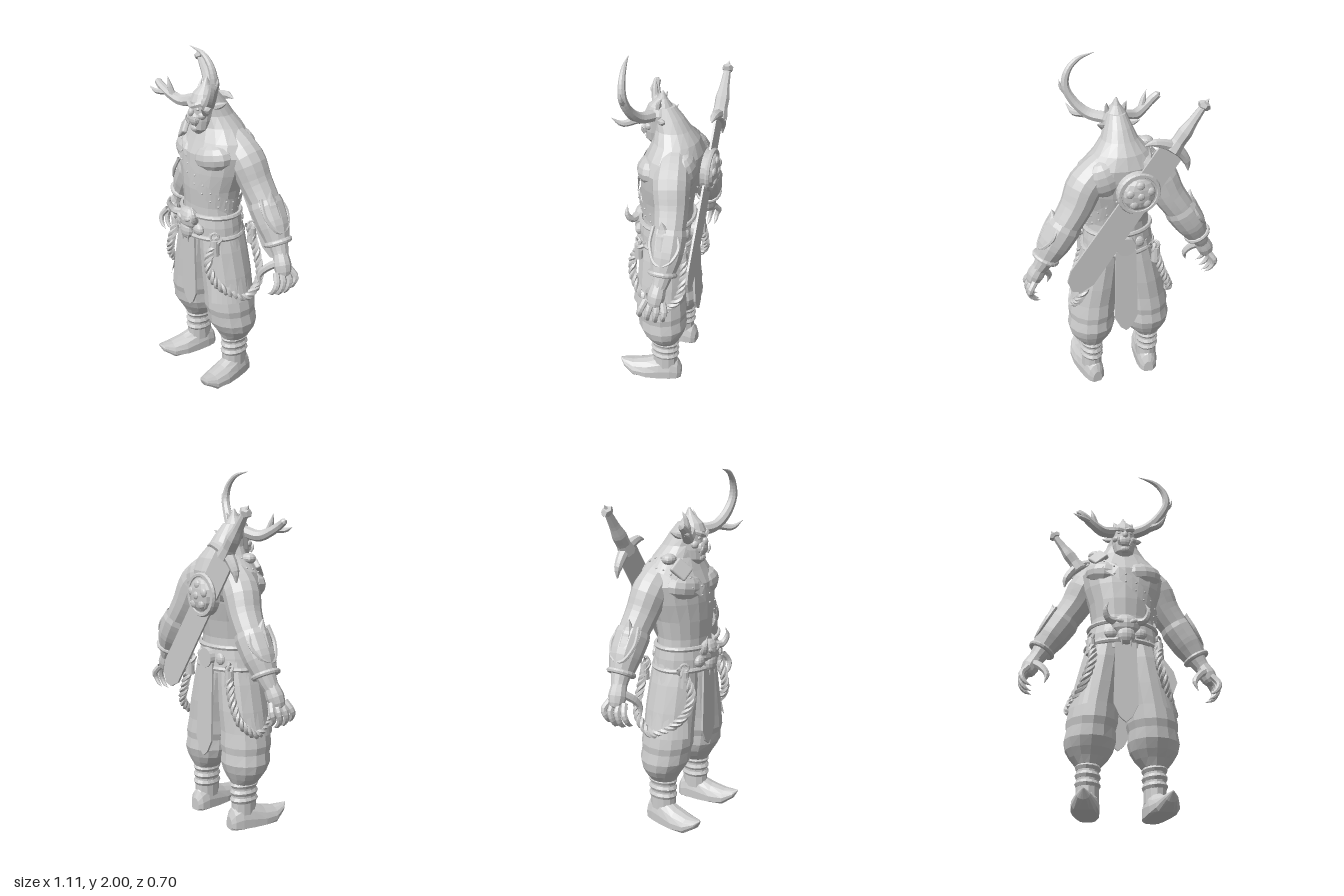
import * as THREE from 'three';
import { RoundedBoxGeometry } from 'three/addons/geometries/RoundedBoxGeometry.js';

const clay = new THREE.MeshStandardMaterial({ color: 0xcccccc, flatShading: true, side: THREE.DoubleSide });
clay.name = 'light grey clay';
const V = (x, y, z) => new THREE.Vector3(x, y, z);

export function createModel() {
  const model = new THREE.Group();
  const body = new THREE.Group();
  body.name = 'hornedWarrior';
  model.add(body);

  const add = (name, geo, pos = [0, 0, 0], rot = [0, 0, 0], scale = [1, 1, 1], parent = body) => {
    const m = new THREE.Mesh(geo, clay);
    m.name = name;
    m.position.set(...pos);
    m.rotation.set(...rot);
    m.scale.set(...scale);
    parent.add(m);
    return m;
  };
  const ball = (name, pos, scale, parent = body, rot = [0, 0, 0]) =>
    add(name, new THREE.SphereGeometry(1, 12, 8), pos, rot, scale, parent);

  // Stack of ellipses, top to bottom: [y, x, z, rx, rz]
  const loftGeo = (rings, sides = 16) => {
    const g = new THREE.CylinderGeometry(1, 1, 1, sides, rings.length - 1);
    const p = g.attributes.position;
    for (let i = 0; i < p.count; i++) {
      const [y, x, z, rx, rz] = rings[Math.round((0.5 - p.getY(i)) * (rings.length - 1))];
      p.setXYZ(i, x + p.getX(i) * rx, y, z + p.getZ(i) * rz);
    }
    g.computeVertexNormals();
    return g;
  };
  const loft = (name, rings, sides) => add(name, loftGeo(rings, sides));

  // Tube whose radius changes along its path: [x, y, z, r]
  const limb = (name, pts, sides = 10, seg = 18, parent = body) => {
    const curve = new THREE.CatmullRomCurve3(pts.map(p => V(p[0], p[1], p[2])));
    const g = new THREE.TubeGeometry(curve, seg, 1, sides);
    const p = g.attributes.position, v = V(0, 0, 0);
    for (let i = 0; i < p.count; i++) {
      const u = Math.floor(i / (sides + 1)) / seg;
      const t = curve.getUtoTmapping(u) * (pts.length - 1);
      const k = Math.min(Math.floor(t), pts.length - 2);
      const r = THREE.MathUtils.lerp(pts[k][3], pts[k + 1][3], t - k);
      const c = curve.getPointAt(u);
      v.fromBufferAttribute(p, i).sub(c).multiplyScalar(r).add(c);
      p.setXYZ(i, v.x, v.y, v.z);
    }
    g.computeVertexNormals();
    return add(name, g, undefined, undefined, undefined, parent);
  };
  const flip = (s, pts) => pts.map(([x, ...rest]) => [x * s, ...rest]);

  // Torso with hunched neck
  const torso = [
    [1.72, 0, 0.07, 0.05, 0.06], [1.66, 0, 0.045, 0.075, 0.085], [1.6, 0, 0.02, 0.1, 0.1],
    [1.54, 0, 0, 0.15, 0.125], [1.47, 0, 0.002, 0.215, 0.153], [1.4, 0, 0.02, 0.24, 0.168],
    [1.3, 0, 0.032, 0.222, 0.162], [1.2, 0, 0.045, 0.192, 0.15], [1.1, 0, 0.05, 0.177, 0.138],
    [1.0, 0, 0.05, 0.185, 0.14], [0.9, 0, 0.045, 0.175, 0.14],
  ];
  loft('torso', torso, 18);
  for (const s of [1, -1]) {
    ball('chestMuscle', [0.1 * s, 1.385, 0.11], [0.125, 0.08, 0.08], body, [0, 0.25 * s, 0.15 * s]);
    ball('shoulderBlade', [0.105 * s, 1.41, -0.08], [0.1, 0.11, 0.068], body, [0, 0, -0.3 * s]);
  }

  // Studded strap from right shoulder to left waist
  const onTorso = (a, dy, out) => {
    const y = 1.32 - 0.2 * Math.sin(a) + dy;
    const k = torso.findIndex((r, i) => torso[i + 1][0] <= y);
    const t = (torso[k][0] - y) / (torso[k][0] - torso[k + 1][0]);
    const [, , z, rx, rz] = torso[k].map((n, j) => THREE.MathUtils.lerp(n, torso[k + 1][j], t));
    return V(Math.sin(a) * (rx + out), y, z + Math.cos(a) * (rz + out));
  };
  const strap = new THREE.CylinderGeometry(1, 1, 1, 40, 1, true);
  const sp = strap.attributes.position;
  for (let i = 0; i < sp.count; i++) {
    const q = onTorso(Math.atan2(sp.getX(i), sp.getZ(i)), sp.getY(i) * 0.085, 0.015);
    sp.setXYZ(i, q.x, q.y, q.z);
  }
  strap.computeVertexNormals();
  add('chestStrap', strap);
  for (let i = 0; i < 24; i++)
    for (const dy of [-0.025, 0.025])
      ball('strapStud', onTorso(i * Math.PI / 12, dy, 0.015).toArray(), [0.006, 0.006, 0.006]);
  add('strapBuckle', new RoundedBoxGeometry(0.09, 0.1, 0.03, 2, 0.01), [-0.15, 1.49, 0.12], [-0.5, -0.5, 0.5]);
  ball('shoulderKnot', [-0.16, 1.54, 0.05], [0.045, 0.03, 0.04]);

  // Head with crested brow
  loft('head', [
    [1.8, 0, 0.075, 0.004, 0.004], [1.76, 0, 0.08, 0.022, 0.028], [1.72, 0, 0.09, 0.055, 0.065],
    [1.68, 0, 0.093, 0.074, 0.08], [1.64, 0, 0.1, 0.07, 0.072], [1.58, 0, 0.108, 0.066, 0.064],
    [1.53, 0, 0.113, 0.055, 0.055], [1.5, 0, 0.115, 0.028, 0.03],
  ], 14);
  ball('muzzle', [0, 1.59, 0.16], [0.045, 0.04, 0.025]);
  ball('nose', [0, 1.625, 0.175], [0.017, 0.024, 0.018]);
  ball('chin', [0, 1.535, 0.155], [0.03, 0.022, 0.02]);
  for (const s of [1, -1]) {
    limb('brow', flip(s, [[0, 1.655, 0.175, 0.012], [0.035, 1.67, 0.165, 0.015], [0.078, 1.69, 0.11, 0.008]]), 6, 6);
    ball('eye', [0.031 * s, 1.645, 0.158], [0.013, 0.009, 0.01]);
    ball('cheek', [0.046 * s, 1.61, 0.14], [0.024, 0.022, 0.022]);
    limb('tusk', flip(s, [[0.03, 1.56, 0.17, 0.009], [0.04, 1.585, 0.182, 0.007], [0.036, 1.61, 0.182, 0]]), 6, 6);
    limb('ear', flip(s, [[0.06, 1.65, 0.07, 0.02], [0.09, 1.66, 0.05, 0.017], [0.12, 1.68, 0.025, 0]]), 6, 6);
    limb('crestSpike', flip(s, [[0.04, 1.71, 0.09, 0.02], [0.05, 1.75, 0.08, 0.012], [0.055, 1.78, 0.065, 0]]), 6, 6);
  }

  // Long left horn and broken right antler
  limb('leftHorn', [
    [0.05, 1.675, 0.115, 0.034], [0.13, 1.69, 0.16, 0.031], [0.198, 1.75, 0.19, 0.027], [0.242, 1.84, 0.207, 0.023],
    [0.225, 1.92, 0.213, 0.018], [0.17, 1.975, 0.22, 0.013], [0.075, 2.0, 0.232, 0.001],
  ], 8, 26);
  limb('leftHornProng', [[0.15, 1.69, 0.165, 0.022], [0.2, 1.68, 0.23, 0.017], [0.23, 1.72, 0.28, 0]], 7, 8);
  limb('leftHornSpur', [[0.235, 1.8, 0.2, 0.016], [0.268, 1.84, 0.205, 0.011], [0.275, 1.88, 0.205, 0]], 6, 6);
  limb('rightAntler', [
    [-0.05, 1.675, 0.115, 0.034], [-0.13, 1.655, 0.15, 0.031], [-0.19, 1.68, 0.178, 0.027],
    [-0.25, 1.72, 0.2, 0.022], [-0.285, 1.745, 0.2, 0.018], [-0.29, 1.748, 0.2, 0],
  ], 8, 18);
  limb('rightAntlerProng', [[-0.17, 1.67, 0.175, 0.02], [-0.19, 1.73, 0.185, 0.015], [-0.205, 1.78, 0.185, 0]], 7, 8);
  limb('rightAntlerProng', [[-0.21, 1.69, 0.19, 0.018], [-0.26, 1.69, 0.225, 0.014], [-0.31, 1.71, 0.235, 0]], 7, 8);

  for (const s of [1, -1]) {
    // Arm, bracer and clawed hand
    limb('arm', flip(s, [
      [0.06, 1.5, -0.01, 0.075], [0.135, 1.44, -0.025, 0.092], [0.21, 1.365, -0.038, 0.103], [0.262, 1.26, -0.055, 0.092],
      [0.335, 1.15, -0.068, 0.084], [0.4, 1.05, -0.07, 0.08], [0.455, 0.95, -0.065, 0.052], [0.49, 0.89, -0.055, 0.04],
    ]), 12, 20);
    limb('bracer', flip(s, [
      [0.325, 1.17, -0.066, 0.09], [0.342, 1.14, -0.068, 0.097], [0.4, 1.05, -0.07, 0.09], [0.45, 0.96, -0.065, 0.064],
    ]), 12, 8);
    limb('bracerPoint', flip(s, [[0.425, 1.1, -0.06, 0.045], [0.395, 1.18, -0.055, 0.038], [0.398, 1.255, -0.045, 0]]), 8, 8);
    limb('bracerTrim', flip(s, [
      [0.38, 1.21, 0.005, 0.011], [0.43, 1.12, 0.01, 0.011], [0.48, 1.04, -0.04, 0.011],
      [0.475, 1.05, -0.1, 0.011], [0.42, 1.12, -0.145, 0.011], [0.375, 1.2, -0.115, 0.011],
    ]), 6, 24);
    add('wristCuff', new THREE.TorusGeometry(0.066, 0.015, 8, 18), [0.448 * s, 0.967, -0.065], [Math.PI / 2, 0.5 * s, 0]);
    limb('palm', flip(s, [[0.475, 0.92, -0.058, 0.04], [0.505, 0.86, -0.05, 0.05], [0.525, 0.81, -0.045, 0.04], [0.53, 0.79, -0.045, 0]]), 10, 8);
    for (let i = 0; i < 4; i++) {
      const z = -0.09 + 0.032 * i, d = Math.abs(i - 1.4) * 0.015, w = (i - 1.5) * 0.012;
      limb('finger', flip(s, [
        [0.52, 0.83, z, 0.018], [0.552, 0.785, z + w, 0.018], [0.552, 0.735 + d, z + 0.01 + w, 0.016],
        [0.53, 0.7 + d, z + 0.014 + w, 0.012], [0.495, 0.682 + d, z + 0.016 + w, 0],
      ]), 7, 10);
    }
    limb('thumb', flip(s, [
      [0.49, 0.87, -0.03, 0.024], [0.445, 0.83, 0.01, 0.021], [0.415, 0.78, 0.03, 0.017], [0.43, 0.72, 0.04, 0],
    ]), 7, 10);

    // Baggy trouser leg gathered below the knee
    loft('trouserLeg', [
      [0.98, 0.09, 0.045, 0.1, 0.13], [0.85, 0.11, 0.045, 0.12, 0.14], [0.7, 0.135, 0.042, 0.132, 0.145],
      [0.58, 0.155, 0.042, 0.136, 0.145], [0.5, 0.164, 0.038, 0.142, 0.15], [0.46, 0.168, 0.035, 0.134, 0.142],
      [0.4, 0.172, 0.028, 0.142, 0.143], [0.35, 0.174, 0.022, 0.13, 0.122], [0.31, 0.175, 0.018, 0.105, 0.1],
      [0.27, 0.177, 0.018, 0.07, 0.08],
    ].map(([y, x, z, a, b]) => [y, x * s, z, a, b]), 14);
    add('hipFlap', new THREE.CylinderGeometry(0.2, 0.298, 0.4, 10, 3, true, s > 0 ? 0.75 : -1.95, 1.2),
      [0, 0.76, 0.042], undefined, [1, 1, 0.72]);

    // Wrapped shin and boot with upturned toe
    add('shin', new THREE.CylinderGeometry(0.06, 0.062, 0.24, 12), [0.178 * s, 0.2, 0.015], undefined, [1, 1, 1.25]);
    for (const y of [0.17, 0.215, 0.26])
      add('shinWrap', new THREE.TorusGeometry(0.054, 0.016, 6, 14), [0.178 * s, y, 0.015], [Math.PI / 2, 0.06 * s, 0], [1, 1.25, 1.2]);
    const boot = loftGeo([
      [0.285, 0, -0.085, 0.004, 0.004], [0.26, 0, -0.06, 0.034, 0.025], [0.2, 0, -0.03, 0.064, 0.055],
      [0.12, 0, -0.025, 0.074, 0.08], [0.04, 0, -0.03, 0.07, 0.11], [-0.03, 0, -0.035, 0.064, 0.12],
      [-0.075, 0, -0.03, 0.052, 0.09], [-0.095, 0, -0.025, 0.03, 0.05],
    ], 14).rotateX(Math.PI / 2);
    const bp = boot.attributes.position;
    for (let i = 0; i < bp.count; i++) bp.setY(i, Math.max(0, bp.getY(i)));
    add('boot', boot, [0.18 * s, 0, 0.01], [0, 0.15 * s, 0]);

    // Twisted rope loop hung from the belt
    const path = new THREE.CatmullRomCurve3([
      [0.192, 0.95, 0.14], [0.18, 0.82, 0.205], [0.215, 0.7, 0.185], [0.265, 0.6, 0.08], [0.29, 0.58, 0.01],
      [0.272, 0.66, -0.09], [0.215, 0.8, -0.11], [0.17, 0.96, -0.09],
    ].map(([x, y, z]) => V(x * s, y, z)));
    const f = path.computeFrenetFrames(90);
    for (let k = 0; k < 3; k++) {
      const strand = [...Array(91).keys()].map(i => {
        const a = i * 0.62 + k * Math.PI * 2 / 3;
        return path.getPointAt(i / 90).addScaledVector(f.normals[i], 0.013 * Math.cos(a))
          .addScaledVector(f.binormals[i], 0.013 * Math.sin(a));
      });
      add('ropeStrand', new THREE.TubeGeometry(new THREE.CatmullRomCurve3(strand), 130, 0.013, 5));
    }
    for (const [x, z] of [[0.187, 0.165], [0.185, -0.1]]) {
      add('ropeFerrule', new THREE.CylinderGeometry(0.023, 0.028, 0.09, 10), [x * s, 0.895, z]);
      add('ropeRing', new THREE.TorusGeometry(0.022, 0.007, 6, 12), [x * s, 0.96, z], [0, 0.9 * s, 0]);
    }
  }

  // Belt and its rims
  loft('belt', [[1.05, 0, 0.05, 0.188, 0.15], [0.99, 0, 0.05, 0.2, 0.158], [0.93, 0, 0.047, 0.205, 0.16]], 20);
  for (const [y, r] of [[1.05, 0.19], [0.93, 0.205]])
    add('beltRim', new THREE.TorusGeometry(r, 0.014, 6, 28), [0, y, 0.05], [Math.PI / 2, 0, 0], [1, 0.8, 1]);

  // Horned skull buckle
  ball('skull', [0, 1.02, 0.205], [0.08, 0.065, 0.045]);
  ball('skullSnout', [0, 0.955, 0.22], [0.05, 0.055, 0.03]);
  for (const s of [1, -1]) {
    limb('skullHorn', flip(s, [
      [0.045, 1.04, 0.21, 0.024], [0.1, 1.04, 0.235, 0.02], [0.12, 1.085, 0.255, 0.014], [0.1, 1.135, 0.255, 0],
    ]), 7, 12);
    ball('skullCheek', [0.075 * s, 0.975, 0.195], [0.045, 0.035, 0.025]);
    ball('skullBrow', [0.035 * s, 1.03, 0.238], [0.028, 0.014, 0.014], body, [0, 0, 0.4 * s]);
    add('skullFang', new THREE.ConeGeometry(0.009, 0.04, 6), [0.025 * s, 0.9, 0.23], [Math.PI, 0, 0]);
    ball('backBeltKnob', [0.085 * s, 0.985, -0.085], [0.035, 0.035, 0.02]);
  }
  add('backBeltDisc', new THREE.CylinderGeometry(0.055, 0.06, 0.03, 18), [0, 0.985, -0.115], [-Math.PI / 2, 0, 0]);

  // Pointed loincloths, front and back
  const cloth = (name, top, bottom, w, z, tilt) => {
    const h = top - bottom;
    const shape = new THREE.Shape([[-w * 0.85, 0], [w * 0.85, 0], [w, -h + 0.1], [w * 0.5, -h + 0.03], [0, -h],
      [-w * 0.5, -h + 0.03], [-w, -h + 0.1]].map(p => new THREE.Vector2(...p)));
    add(name, new THREE.ExtrudeGeometry(shape, { depth: 0.012, bevelEnabled: false }), [0, top, z], [tilt, 0, 0]);
  };
  cloth('frontCloth', 0.96, 0.46, 0.066, 0.2, 0);
  cloth('backCloth', 0.96, 0.41, 0.07, -0.122, 0.04);

  // Great sword slung across the back
  const sword = new THREE.Group();
  sword.name = 'sword';
  sword.position.set(-0.235, 1.57, -0.168);
  sword.rotation.z = 0.618;
  body.add(sword);
  const edge = [[-0.075, 0], [0.075, 0], [0.085, -0.86], [0.06, -0.93], [0.0, -0.97], [-0.05, -0.95], [-0.085, -0.88]];
  add('blade', new THREE.ExtrudeGeometry(new THREE.Shape(edge.map(p => new THREE.Vector2(...p))),
    { depth: 0.012, bevelEnabled: false }), [0, 0, -0.006], undefined, undefined, sword);
  limb('crossguard', [[-0.15, -0.05, 0, 0.004], [-0.11, -0.01, 0, 0.022], [0, 0.02, 0, 0.034], [0.11, -0.01, 0, 0.022], [0.15, -0.05, 0, 0.004]], 8, 18, sword);
  limb('grip', [[0, 0, 0, 0.048], [0, 0.06, 0, 0.038], [0, 0.12, 0, 0.04], [0, 0.18, 0, 0.028], [0, 0.27, 0, 0.02]], 8, 14, sword);
  add('pommel', new THREE.DodecahedronGeometry(0.032), [0, 0.285, 0], undefined, [1.2, 0.8, 1], sword);
  add('pommelTip', new THREE.ConeGeometry(0.014, 0.03, 6), [0, 0.315, 0], undefined, undefined, sword);

  // Round embossed boss holding the sword
  const boss = new THREE.Group();
  boss.name = 'backBoss';
  boss.position.set(-0.05, 1.35, -0.167);
  body.add(boss);
  add('bossPlate', new THREE.CylinderGeometry(0.105, 0.118, 0.045, 24), [0, 0, -0.005], [-Math.PI / 2, 0, 0], undefined, boss);
  add('bossRim', new THREE.TorusGeometry(0.108, 0.014, 6, 28), [0, 0, -0.02], undefined, undefined, boss);
  ball('bossDome', [0, 0, -0.025], [0.092, 0.092, 0.035], boss);
  for (let i = 0; i < 5; i++) {
    const a = i * Math.PI * 0.4 + 0.3;
    ball('bossKnob', [0.058 * Math.cos(a), 0.058 * Math.sin(a), -0.045], [0.025, 0.025, 0.015], boss);
  }
  ball('bossCentre', [0, 0, -0.055], [0.022, 0.022, 0.012], boss);

  // The figure stands turned toward its right
  body.rotation.y = -0.4;
  body.position.set(-0.014, 0, -0.006);
  return model;
}
